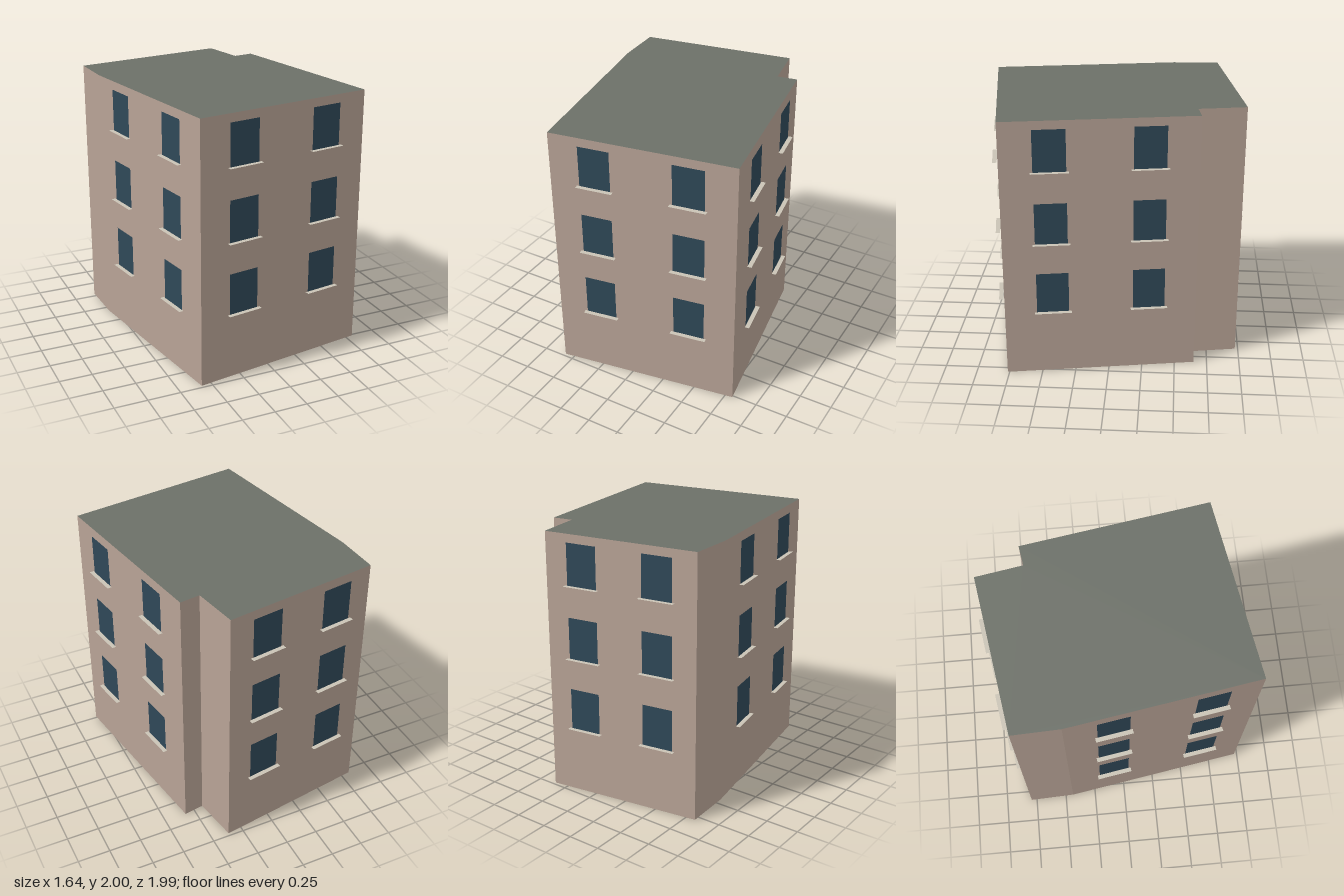
import * as THREE from 'three';

const HEIGHT = 2;
const WINDOW = { width: 0.238, height: 0.316, gap: 0.013 };
const SILL = { width: 0.275, depth: 0.033 };
const FLOORS = [0.512, 1.068, 1.624]; // window bottoms

// Footprint corners [x, z], counter-clockwise from above, starting at the front
const PLAN = [
  [-0.577, 0.977], [0.808, 0.764], [0.578, -0.648], [0.424, -0.624],
  [0.363, -0.977], [-0.823, -0.795], [-0.809, -0.439],
];
// Walls with windows, by index of their first corner
const FACADES = { front: 0, left: 1, back: 4, right: 6 };

export function createModel() {
  const model = new THREE.Group();
  const wall = new THREE.MeshStandardMaterial({ color: 0xb8a396 });
  const roof = new THREE.MeshStandardMaterial({ color: 0x6c7068 });
  const glass = new THREE.MeshStandardMaterial({ color: 0x2f4858 });
  const stone = new THREE.MeshStandardMaterial({ color: 0xc9c3b5, side: THREE.DoubleSide });

  // Building body: flat roof and base as caps, walls as sides
  const outline = new THREE.Shape(PLAN.map(([x, z]) => new THREE.Vector2(x, -z)));
  const bodyGeo = new THREE.ExtrudeGeometry(outline, { depth: HEIGHT, bevelEnabled: false });
  bodyGeo.rotateX(-Math.PI / 2);
  const body = new THREE.Mesh(bodyGeo, [roof, wall]);
  body.name = 'wallsAndRoof';
  model.add(body);

  // Window pane just off the wall, with a thin flat sill at its foot
  const paneGeo = new THREE.PlaneGeometry(WINDOW.width, WINDOW.height);
  paneGeo.translate(0, WINDOW.height / 2, WINDOW.gap);
  const sillGeo = new THREE.PlaneGeometry(SILL.width, SILL.depth);
  sillGeo.rotateX(-Math.PI / 2).translate(0, 0, WINDOW.gap + SILL.depth / 2);

  // Two windows per floor on each facade, at a quarter and three quarters
  for (const [side, i] of Object.entries(FACADES)) {
    const [x0, z0] = PLAN[i];
    const [x1, z1] = PLAN[(i + 1) % PLAN.length];
    const facade = new THREE.Group();
    facade.name = `${side}Windows`;
    facade.position.set(x0, 0, z0);
    facade.rotation.y = Math.atan2(z0 - z1, x1 - x0);
    const length = Math.hypot(x1 - x0, z1 - z0);
    for (const y of FLOORS) {
      for (const t of [0.25, 0.75]) {
        const pane = new THREE.Mesh(paneGeo, glass);
        pane.name = 'windowPane';
        const sill = new THREE.Mesh(sillGeo, stone);
        sill.name = 'windowSill';
        for (const part of [pane, sill]) {
          part.position.set(length * t, y, 0);
          facade.add(part);
        }
      }
    }
    model.add(facade);
  }
  return model;
}
